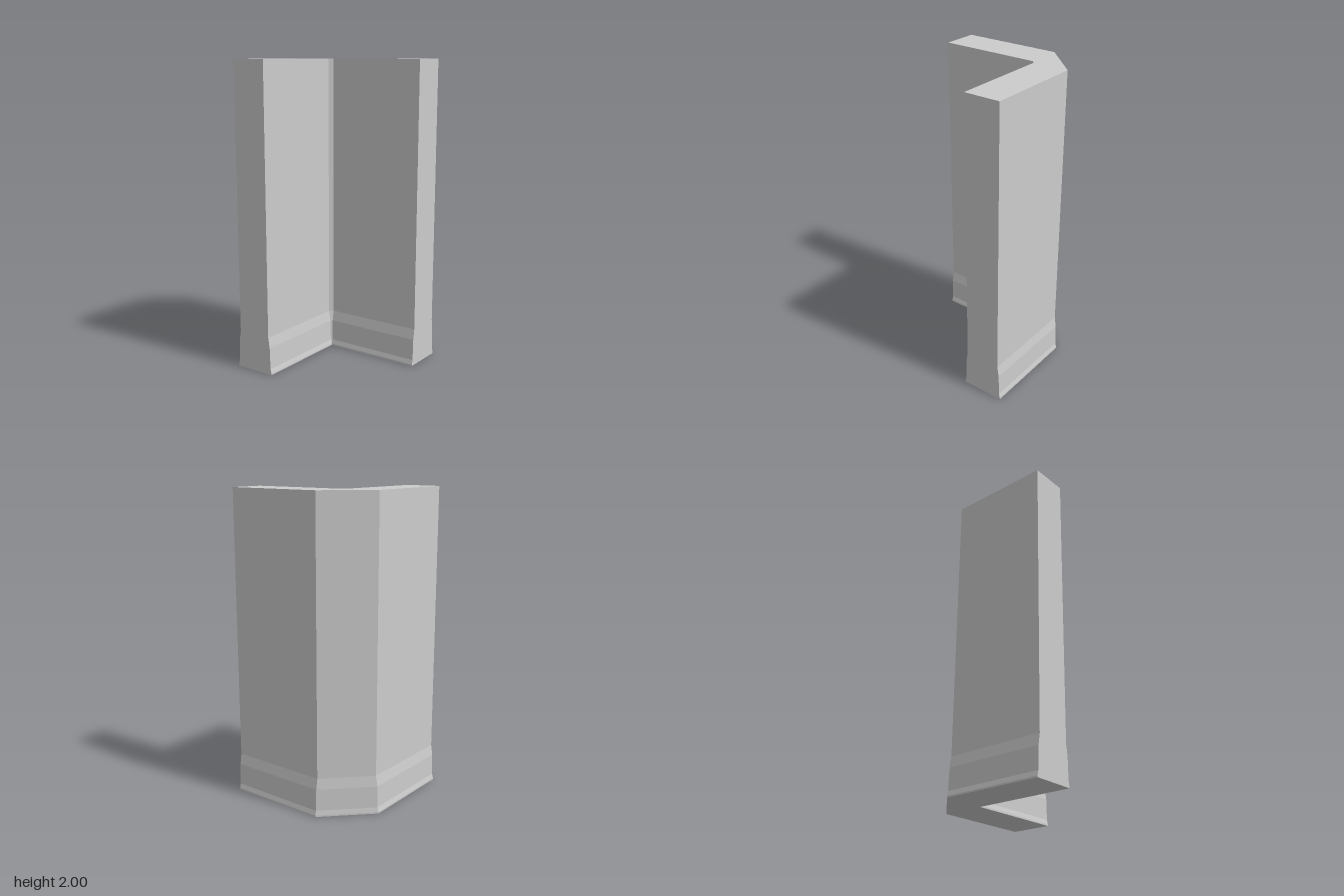
import * as THREE from 'three';

const END = 0.47;      // where both wings stop
const PIVOT = -0.188;  // both wings meet around this corner

// Skirting profile: [height, outer face, inner face]
const PROFILE = [
  [0, 0.47, 0.189],
  [0.01, 0.47, 0.189],
  [0.04, 0.463, 0.196],
  [0.18, 0.459, 0.2],
  [0.25, 0.448, 0.211],
  [2, 0.448, 0.211],
];

// Plan of the L-shaped wall with chamfered corners at one height
function ring([y, o, i]) {
  return [
    [-o, END], [-i, END], [-i, PIVOT], [PIVOT, -i],
    [END, -i], [END, -o], [PIVOT, -o], [-o, PIVOT],
  ].map(([x, z]) => [x, y, z]);
}

function wallGeometry() {
  const pos = [];
  const quad = (a, b, c, d) => pos.push(...a, ...b, ...c, ...a, ...c, ...d);
  const rings = PROFILE.map(ring);

  // Sides, level by level
  for (let k = 0; k < rings.length - 1; k++) {
    const lo = rings[k], hi = rings[k + 1];
    for (let j = 0; j < 8; j++) {
      const n = (j + 1) % 8;
      quad(lo[j], lo[n], hi[n], hi[j]);
    }
  }

  // Top and bottom: wing, corner, wing
  const top = rings[rings.length - 1], bottom = rings[0];
  for (const [a, b, c, d] of [[0, 1, 2, 7], [7, 2, 3, 6], [6, 3, 4, 5]]) {
    quad(top[a], top[b], top[c], top[d]);
    quad(bottom[d], bottom[c], bottom[b], bottom[a]);
  }

  const geometry = new THREE.BufferGeometry();
  geometry.setAttribute('position', new THREE.Float32BufferAttribute(pos, 3));
  geometry.computeVertexNormals();
  return geometry;
}

export function createModel() {
  const group = new THREE.Group();
  group.name = 'wallCorner';
  const wall = new THREE.Mesh(
    wallGeometry(),
    new THREE.MeshStandardMaterial({ color: 0xcccccc, flatShading: true })
  );
  wall.name = 'cornerWallWithSkirting';
  group.add(wall);
  return group;
}
